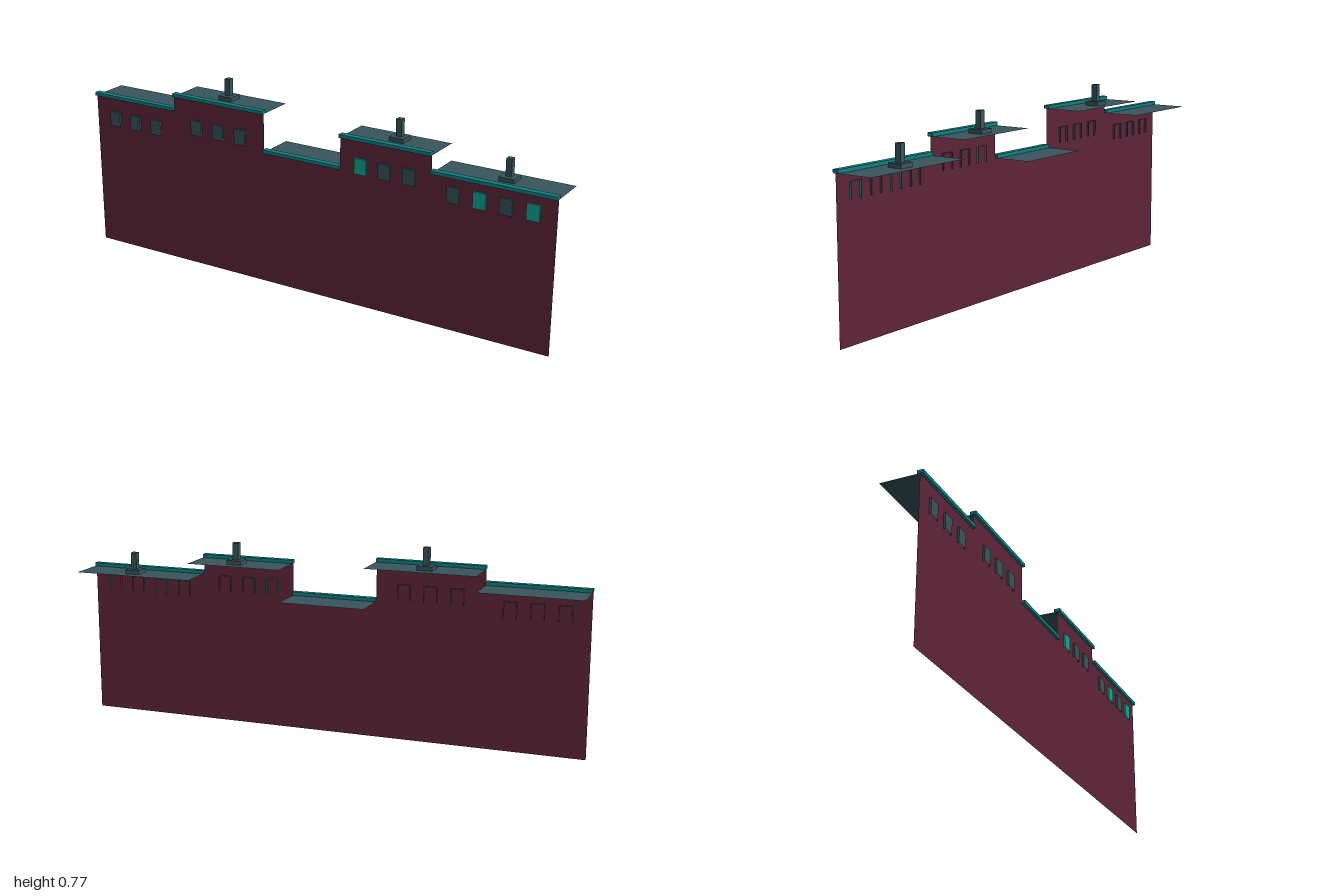
import * as THREE from 'three';

const mat = (name, color, side = THREE.FrontSide) => {
  const m = new THREE.MeshStandardMaterial({ color, side });
  m.name = name;
  return m;
};

// Each block: x range, eaves height, window centres, lit windows, chimney position
const BLOCKS = [
  { x0: -1, x1: -0.61, h: 0.626, wy: 0.54, windows: [-0.906, -0.804, -0.702], lit: [] },
  { x0: -0.61, x1: -0.19, h: 0.684, wy: 0.573, windows: [-0.503, -0.401, -0.299], lit: [], chimney: -0.408 },
  { x0: -0.19, x1: 0.145, h: 0.532, wy: 0, windows: [], lit: [] },
  { x0: 0.145, x1: 0.52, h: 0.655, wy: 0.557, windows: [0.232, 0.331, 0.431], lit: [0], chimney: 0.345 },
  { x0: 0.52, x1: 1, h: 0.589, wy: 0.525, windows: [0.608, 0.71, 0.811, 0.912], lit: [1, 3], chimney: 0.78 },
];
const WALL_Z = 0.07, BACK_Z = -0.082;

export function createModel() {
  const model = new THREE.Group();
  model.name = 'rowOfBuildings';
  const brick = mat('maroon wall', 0x5e2438, THREE.DoubleSide);
  const slate = mat('slate', 0x37545b);
  const sheet = mat('slate sheet', 0x37545b, THREE.DoubleSide);
  const trim = mat('teal trim', 0x0f8080);
  const glow = mat('lit window', 0x0ea691, THREE.DoubleSide);

  const add = (parent, name, geometry, material, x, y, z) => {
    const mesh = new THREE.Mesh(geometry, material);
    mesh.name = name;
    mesh.position.set(x, y, z);
    parent.add(mesh);
    return mesh;
  };

  // Window hood: a pane with a top and two sides, open behind and below
  const w = 0.049, t = 0.061, d = 0.016;
  const addWindow = (parent, x, y, material) => {
    const g = new THREE.Group();
    g.name = 'window';
    g.position.set(x, y, WALL_Z);
    add(g, 'windowPane', new THREE.PlaneGeometry(w, t), material, 0, 0, d / 2);
    add(g, 'windowTop', new THREE.PlaneGeometry(w, d).rotateX(-Math.PI / 2), material, 0, t / 2, 0);
    for (const s of [-1, 1]) {
      add(g, 'windowSide', new THREE.PlaneGeometry(d, t).rotateY(s * Math.PI / 2), material, s * w / 2, 0, 0);
    }
    parent.add(g);
  };

  BLOCKS.forEach((b, i) => {
    const block = new THREE.Group();
    block.name = 'building' + (i + 1);
    model.add(block);
    const width = b.x1 - b.x0, cx = (b.x0 + b.x1) / 2;

    // Thin facade, flat roof and cornice
    add(block, 'facade', new THREE.PlaneGeometry(width, b.h), brick, cx, b.h / 2, WALL_Z);
    add(block, 'roof', new THREE.PlaneGeometry(width, WALL_Z - BACK_Z).rotateX(-Math.PI / 2),
      sheet, cx, b.h, (WALL_Z + BACK_Z) / 2);
    add(block, 'cornice', new THREE.BoxGeometry(width, 0.0135, 0.024), trim, cx, b.h + 0.00675, WALL_Z);

    b.windows.forEach((x, k) => addWindow(block, x, b.wy, b.lit.includes(k) ? glow : sheet));

    // Chimney shaft on a square base
    if (b.chimney !== undefined) {
      add(block, 'chimneyBase', new THREE.BoxGeometry(0.058, 0.016, 0.058), slate, b.chimney, b.h + 0.008, -0.0145);
      add(block, 'chimneyShaft', new THREE.BoxGeometry(0.023, 0.067, 0.023), slate, b.chimney, b.h + 0.0485, -0.0145);
    }
  });
  return model;
}
